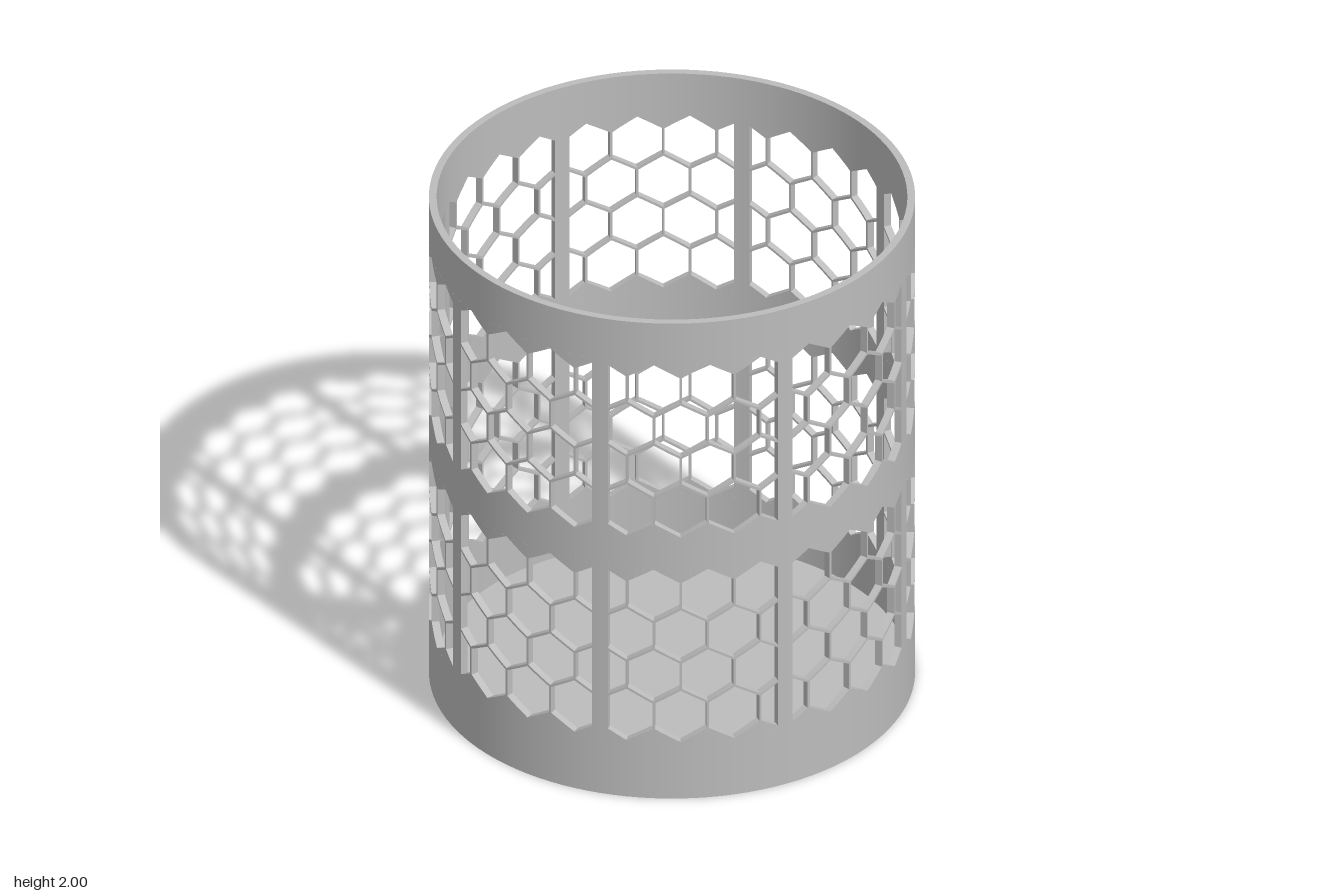
import * as THREE from 'three';

const RO = 0.873, RI = 0.845, HEIGHT = 2, FLOOR = 0.03;
const STEP = Math.PI / 28;            // half the angular pitch of 28 cells per ring
const CELL = 0.108;                   // corner radius of a hexagonal opening
const HALF = CELL * Math.sqrt(3) / 2; // half its flat-to-flat width
const ROW = 0.1697;                   // vertical distance between cell rows
const POST = 0.03 / RO;               // half angle of an upright post
const SEGMENTS = 112;

// Collects quads given as [angle, radius, y]; curved faces get radial normals
class WallBuilder {
  constructor() { this.pos = []; this.nor = []; }

  quad(corners, radial = 0) {
    const p = corners.map(([t, r, y]) => new THREE.Vector3(Math.sin(t) * r, y, Math.cos(t) * r));
    const flat = p[2].clone().sub(p[0]).cross(p[3].clone().sub(p[1])).normalize();
    for (const i of [0, 1, 2, 0, 2, 3]) {
      const t = corners[i][0];
      const n = radial ? new THREE.Vector3(Math.sin(t) * radial, 0, Math.cos(t) * radial) : flat;
      this.pos.push(p[i].x, p[i].y, p[i].z);
      this.nor.push(n.x, n.y, n.z);
    }
  }

  // Curved block from angle a to b, with lower and upper edges as functions of angle
  block(a, b, lo, hi) {
    this.quad([[a, RO, lo(a)], [b, RO, lo(b)], [b, RO, hi(b)], [a, RO, hi(a)]], 1);
    this.quad([[b, RI, lo(b)], [a, RI, lo(a)], [a, RI, hi(a)], [b, RI, hi(b)]], -1);
    this.quad([[a, RO, hi(a)], [b, RO, hi(b)], [b, RI, hi(b)], [a, RI, hi(a)]]);
    this.quad([[b, RO, lo(b)], [a, RO, lo(a)], [a, RI, lo(a)], [b, RI, lo(b)]]);
  }

  // Radial face at one angle, facing forward (+1) or backward (-1) around the ring
  side(t, y0, y1, facing) {
    const c = [[t, RO, y0], [t, RI, y0], [t, RI, y1], [t, RO, y1]];
    this.quad(facing > 0 ? c : c.reverse());
  }

  mesh(name, material) {
    const g = new THREE.BufferGeometry();
    g.setAttribute('position', new THREE.Float32BufferAttribute(this.pos, 3));
    g.setAttribute('normal', new THREE.Float32BufferAttribute(this.nor, 3));
    const m = new THREE.Mesh(g, material);
    m.name = name;
    return m;
  }
}

function band(name, y0, y1, material) {
  const w = new WallBuilder();
  for (let i = 0; i < SEGMENTS; i++) {
    w.block(i * 2 * Math.PI / SEGMENTS, (i + 1) * 2 * Math.PI / SEGMENTS, () => y0, () => y1);
  }
  return w.mesh(name, material);
}

function post(name, angle, y0, y1, material) {
  const w = new WallBuilder();
  w.block(angle - POST, angle, () => y0, () => y1);
  w.block(angle, angle + POST, () => y0, () => y1);
  w.side(angle - POST, y0, y1, -1);
  w.side(angle + POST, y0, y1, 1);
  return w.mesh(name, material);
}

// Honeycomb panel between two posts, cut into slices wherever a cell edge turns
function honeycomb(name, start, end, y0, y1, material) {
  const w = new WallBuilder();
  const hw = HALF / RO;
  const distance = (t, row) => {
    const k = (t / STEP - row % 2) / 2;
    return Math.abs(k - Math.round(k)) * 2 * STEP * RO;
  };
  const opening = (t, row) => CELL - Math.min(distance(t, row), HALF) / Math.sqrt(3);
  const centre = row => y0 + CELL + row * ROW;

  const turns = [start, end];
  for (let k = -2; k < 60; k++) {
    for (const t of [k * STEP, k * STEP - hw, k * STEP + hw]) {
      if (t > start + 1e-4 && t < end - 1e-4) turns.push(t);
    }
  }
  turns.sort((p, q) => p - q);

  for (let i = 0; i + 1 < turns.length; i++) {
    const a = turns[i], b = turns[i + 1];
    const open = [0, 1, 2, 3].filter(row => distance((a + b) / 2, row) < HALF);
    const parts = Math.ceil((b - a) / 0.05);
    for (let s = 0; s < parts; s++) {
      const t0 = a + (b - a) * s / parts, t1 = a + (b - a) * (s + 1) / parts;
      let lower = () => y0;
      for (const row of open) {
        w.block(t0, t1, lower, t => centre(row) - opening(t, row));
        lower = t => centre(row) + opening(t, row);
      }
      w.block(t0, t1, lower, () => y1);
    }
    // Upright cell walls
    for (const row of open) {
      for (const [t, limit, facing] of [[a, start, 1], [b, end, -1]]) {
        if (t === limit || distance(t, row) > HALF - 1e-6) {
          w.side(t, centre(row) - opening(t, row), centre(row) + opening(t, row), facing);
        }
      }
    }
  }
  return w.mesh(name, material);
}

export function createModel() {
  const model = new THREE.Group();
  model.name = 'honeycombBasket';
  const grey = new THREE.MeshStandardMaterial({ color: 0xbcbcbc });
  grey.name = 'grey';

  // Solid floor
  const floor = new THREE.Mesh(new THREE.CylinderGeometry(RO, RO, FLOOR, SEGMENTS), grey);
  floor.name = 'floor';
  floor.position.y = FLOOR / 2;
  model.add(floor);

  // Plain bands around the two open tiers
  const tierHeight = 3 * ROW + 2 * CELL;
  const lower = 0.237, upper = 1.099;
  model.add(band('bottomBand', FLOOR, lower, grey));
  model.add(band('middleBand', lower + tierHeight, upper, grey));
  model.add(band('topBand', upper + tierHeight, HEIGHT, grey));

  // Eight posts and eight honeycomb panels per tier
  for (const [tier, y0] of [['lower', lower], ['upper', upper]]) {
    const group = new THREE.Group();
    group.name = tier + 'Tier';
    for (let i = 0; i < 8; i++) {
      const angle = i * Math.PI / 4, next = angle + Math.PI / 4;
      group.add(post(tier + 'Post' + (i + 1), angle, y0, y0 + tierHeight, grey));
      group.add(honeycomb(tier + 'Honeycomb' + (i + 1), angle + POST, next - POST, y0, y0 + tierHeight, grey));
    }
    model.add(group);
  }
  return model;
}
